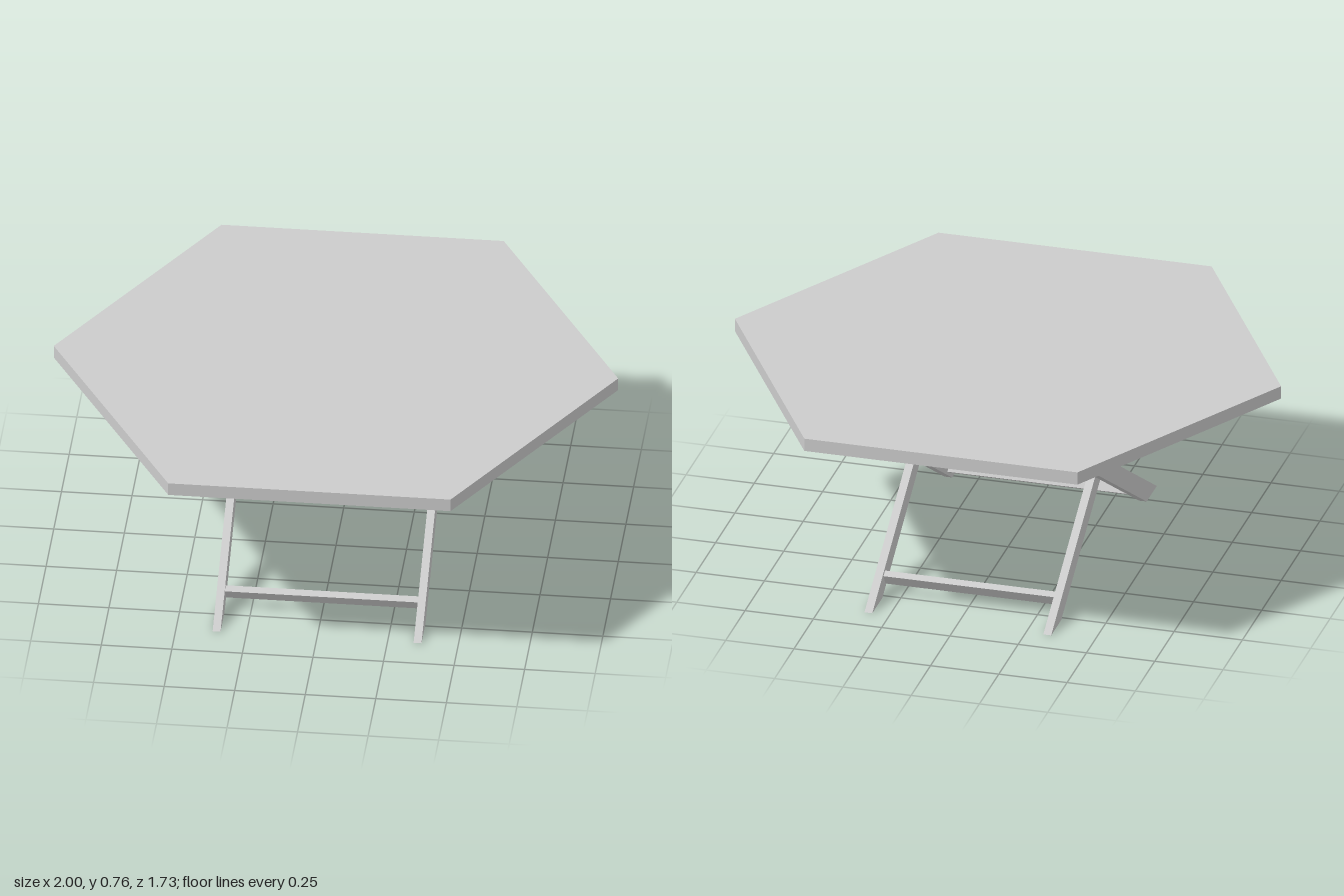
import * as THREE from 'three';

const TOP_Y = 0.76, UNDER_Y = 0.712;   // table top faces
const MID_Z = -0.016;                  // pivot line of the crossed legs
const FOOT_OUT = 0.632, FOOT_IN = 0.501; // leg end extents measured from the pivot

// Prism from a (z, y) outline, running along x from x0 to x1
function prismAlongX(points, x0, x1) {
  const shape = new THREE.Shape(points.map(([z, y]) => new THREE.Vector2(z, y)));
  const geo = new THREE.ExtrudeGeometry(shape, { depth: x1 - x0, bevelEnabled: false });
  return geo.rotateY(-Math.PI / 2).translate(x1, 0, 0);
}

export function createModel() {
  const table = new THREE.Group();
  table.name = 'foldingTable';
  const grey = new THREE.MeshStandardMaterial({ color: 0xcccccc });
  grey.name = 'light grey';

  const add = (parent, name, geo) => {
    const mesh = new THREE.Mesh(geo, grey);
    mesh.name = name;
    parent.add(mesh);
    return mesh;
  };

  // Hexagonal top with corners on the x axis
  const corners = [];
  for (let i = 0; i < 6; i++) {
    const a = (i * Math.PI) / 3;
    corners.push(new THREE.Vector2(Math.cos(a), Math.sin(a)));
  }
  const topGeo = new THREE.ExtrudeGeometry(new THREE.Shape(corners), {
    depth: TOP_Y - UNDER_Y, bevelEnabled: false,
  });
  add(table, 'tableTop', topGeo.rotateX(-Math.PI / 2).translate(0, UNDER_Y, 0));

  // One frame: two slanted legs and a stretcher; footSide is +1 for feet at the front
  function addFrame(name, footSide, inner, outer) {
    const frame = new THREE.Group();
    frame.name = name;
    const s = footSide;
    const z = (d) => MID_Z + s * d;
    const leg = [
      [z(FOOT_OUT), 0], [z(FOOT_IN), 0],
      [z(-FOOT_OUT), UNDER_Y], [z(-FOOT_IN), UNDER_Y],
    ];
    add(frame, 'leftLeg', prismAlongX(leg, inner, outer));
    add(frame, 'rightLeg', prismAlongX(leg, -outer, -inner));

    // Stretcher between the legs, tilted with them
    const run = -(FOOT_OUT + FOOT_IN), len = Math.hypot(run, UNDER_Y);
    const dz = run / len, dy = UNDER_Y / len;      // direction up the leg
    const cy = 0.064, cz = (FOOT_OUT + FOOT_IN) / 2 + (run * cy) / UNDER_Y;
    const bar = [[-1, -1], [1, -1], [1, 1], [-1, 1]].map(([a, b]) => [
      z(cz + a * 0.012 * dz + b * 0.024 * dy),
      cy + a * 0.012 * dy - b * 0.024 * dz,
    ]);
    add(frame, 'stretcher', prismAlongX(bar, -inner, inner));
    table.add(frame);
  }

  addFrame('outerLegFrame', 1, 0.342, 0.37);
  addFrame('innerLegFrame', -1, 0.313, 0.342);

  return table;
}
